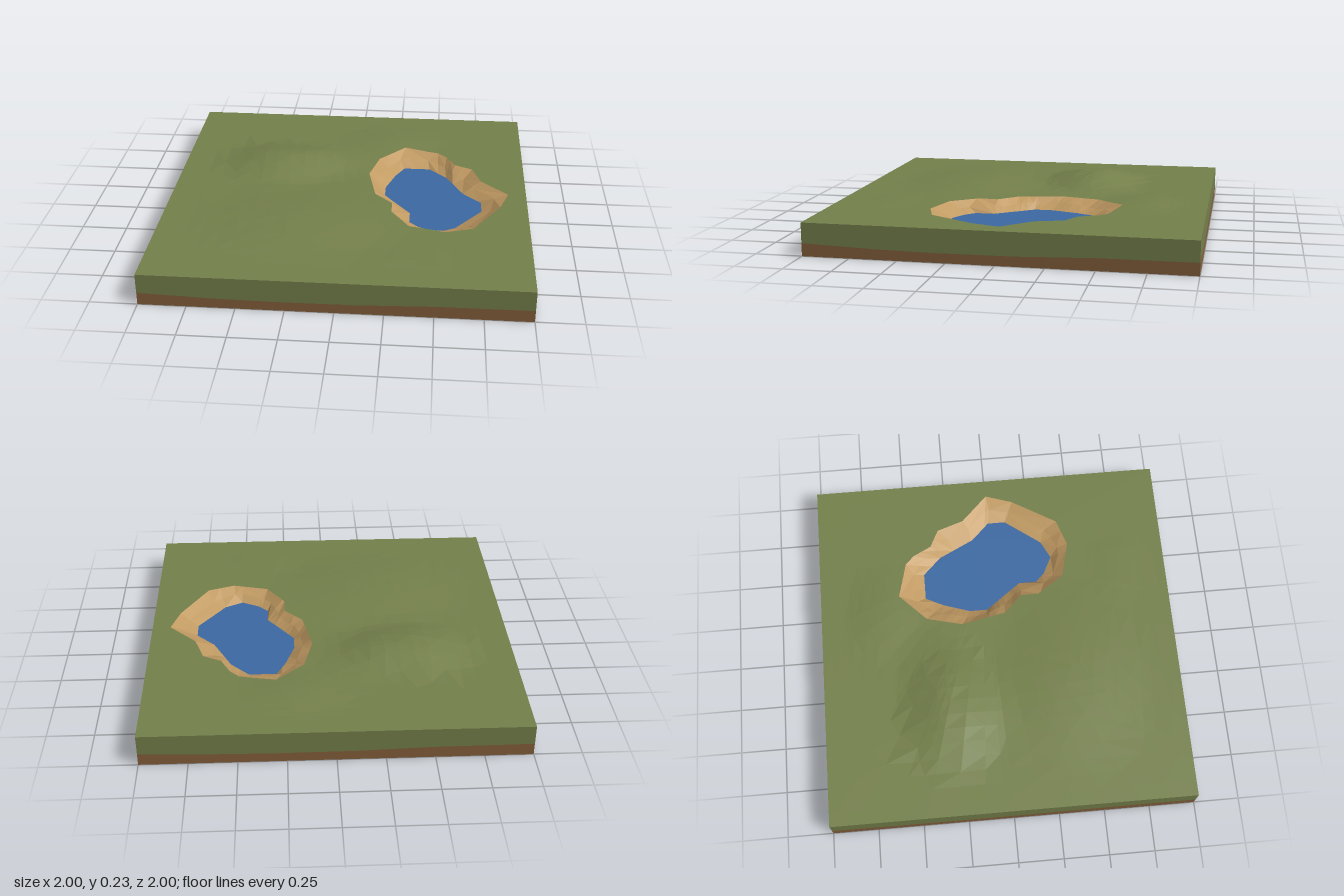
import * as THREE from 'three';

const CX = 0.5, CZ = -0.05, TOP = 0.175, WATER = 0.115;

// Outlines in x, z
const rim = [[0.3, -0.55], [0.5, -0.5], [0.55, -0.45], [0.6, -0.35], [0.7, -0.3], [0.75, -0.15], [0.9, 0], [0.85, 0.15],
  [0.7, 0.4], [0.55, 0.45], [0.35, 0.4], [0.25, 0.25], [0.25, 0.15], [0.15, 0.05], [0.1, -0.2], [0.15, -0.4]];
const shore = [[0.3, -0.4], [0.45, -0.4], [0.55, -0.3], [0.65, -0.1], [0.75, 0], [0.75, 0.1], [0.6, 0.3],
  [0.5, 0.35], [0.4, 0.3], [0.35, 0.25], [0.35, 0.15], [0.2, -0.05], [0.2, -0.15], [0.25, -0.3]];
const border = [[-1, -1], [1, -1], [1, 1], [-1, 1]];

// Low hills: x, z, radius x, radius z, height
const hills = [[-0.43, -0.29, 0.42, 0.33, 0.06], [-0.15, -0.35, 0.28, 0.28, 0.018], [-0.25, 0.4, 0.65, 0.48, 0.024],
  [0.2, -0.65, 0.35, 0.25, 0.014], [0.38, 0.72, 0.25, 0.2, 0.005]];

function height(x, z) {
  return hills.reduce((y, [hx, hz, rx, rz, h]) => {
    const d = ((x - hx) / rx) ** 2 + ((z - hz) / rz) ** 2;
    return y + h * Math.max(0, 1 - d) ** 2;
  }, TOP);
}

// Point where a ray from the pond centre meets an outline
function hit(outline, a) {
  const dx = Math.cos(a), dz = Math.sin(a);
  let best = 0;
  outline.forEach(([x0, z0], i) => {
    const [x1, z1] = outline[(i + 1) % outline.length];
    const ex = x1 - x0, ez = z1 - z0, den = dx * ez - dz * ex;
    if (Math.abs(den) < 1e-9) return;
    const t = ((x0 - CX) * ez - (z0 - CZ) * ex) / den;
    const s = ((x0 - CX) * dz - (z0 - CZ) * dx) / den;
    if (s > -1e-6 && s < 1 + 1e-6) best = Math.max(best, t);
  });
  return [CX + dx * best, CZ + dz * best];
}

// Faceted surface through a grid of points
function sheet(name, material, columns, rows, point) {
  const pos = [], index = [];
  for (let i = 0; i < columns; i++) for (let j = 0; j < rows; j++) pos.push(...point(i, j));
  for (let i = 0; i < columns - 1; i++) for (let j = 0; j < rows - 1; j++) {
    const a = i * rows + j, b = a + rows;
    if ((i + j) % 2) index.push(a, b, a + 1, b, b + 1, a + 1);
    else index.push(a, b, b + 1, a, b + 1, a + 1);
  }
  let geo = new THREE.BufferGeometry();
  geo.setAttribute('position', new THREE.Float32BufferAttribute(pos, 3));
  geo.setIndex(index);
  geo = geo.toNonIndexed();
  geo.computeVertexNormals();
  const mesh = new THREE.Mesh(geo, material);
  mesh.name = name;
  return mesh;
}

function paint(name, color) {
  const m = new THREE.MeshStandardMaterial({ color, flatShading: true, side: THREE.DoubleSide });
  m.name = name;
  return m;
}

export function createModel() {
  const group = new THREE.Group();
  group.name = 'pondTile';
  const grass = paint('grass', 0x75814c), soil = paint('soil', 0x86603c);
  const sand = paint('sand', 0xc29b63), water = paint('water', 0x3d6aa3);

  // Directions through every outline corner, with extra ones towards the hills
  const angles = [...rim, ...shore, ...border].map(([x, z]) => Math.atan2(z - CZ, x - CX));
  for (let d = 130; d < 235; d += 6) angles.push(THREE.MathUtils.degToRad(d > 180 ? d - 360 : d));
  angles.sort((a, b) => a - b);
  const dirs = angles.filter((a, i) => i === 0 || a - angles[i - 1] > 1e-4);
  dirs.push(dirs[0] + Math.PI * 2);

  // Grass ground around the pond
  const rows = 15;
  group.add(sheet('ground', grass, dirs.length, rows, (i, j) => {
    const [x0, z0] = hit(rim, dirs[i]), [x1, z1] = hit(border, dirs[i]), t = j / (rows - 1);
    const x = x0 + (x1 - x0) * t, z = z0 + (z1 - z0) * t;
    return [x, j === rows - 1 ? TOP : height(x, z), z];
  }));

  // Sandy bank from the shore up to the rim
  group.add(sheet('bank', sand, dirs.length, 3, (i, j) => {
    const [x0, z0] = hit(shore, dirs[i]), [x1, z1] = hit(rim, dirs[i]);
    const t = j / 2, x = x0 + (x1 - x0) * t, z = z0 + (z1 - z0) * t;
    const bump = j === 1 ? 0.006 * Math.sin(dirs[i] * 9) : 0;
    return [x, WATER + (height(x1, z1) - WATER) * t + bump, z];
  }));

  // Water surface
  const pond = new THREE.Mesh(
    new THREE.ShapeGeometry(new THREE.Shape(shore.map(([x, z]) => new THREE.Vector2(x, -z)))).rotateX(-Math.PI / 2), water);
  pond.name = 'water';
  pond.position.y = WATER;
  group.add(pond);

  // Four side walls: soil below, grass above, with a slightly wavy seam
  const seam = [[-1, 0.068], [-0.6, 0.054], [-0.3, 0.05], [0.1, 0.052], [0.5, 0.064], [1, 0.066]];
  for (let k = 0; k < 4; k++) {
    const wall = new THREE.Group();
    wall.name = ['front', 'left', 'back', 'right'][k] + 'Wall';
    wall.add(sheet('soilLayer', soil, seam.length, 2, (i, j) => [seam[i][0], j ? seam[i][1] : 0, 1]));
    wall.add(sheet('grassLayer', grass, seam.length, 2, (i, j) => [seam[i][0], j ? TOP : seam[i][1], 1]));
    wall.rotation.y = k * Math.PI / 2;
    group.add(wall);
  }
  return group;
}
